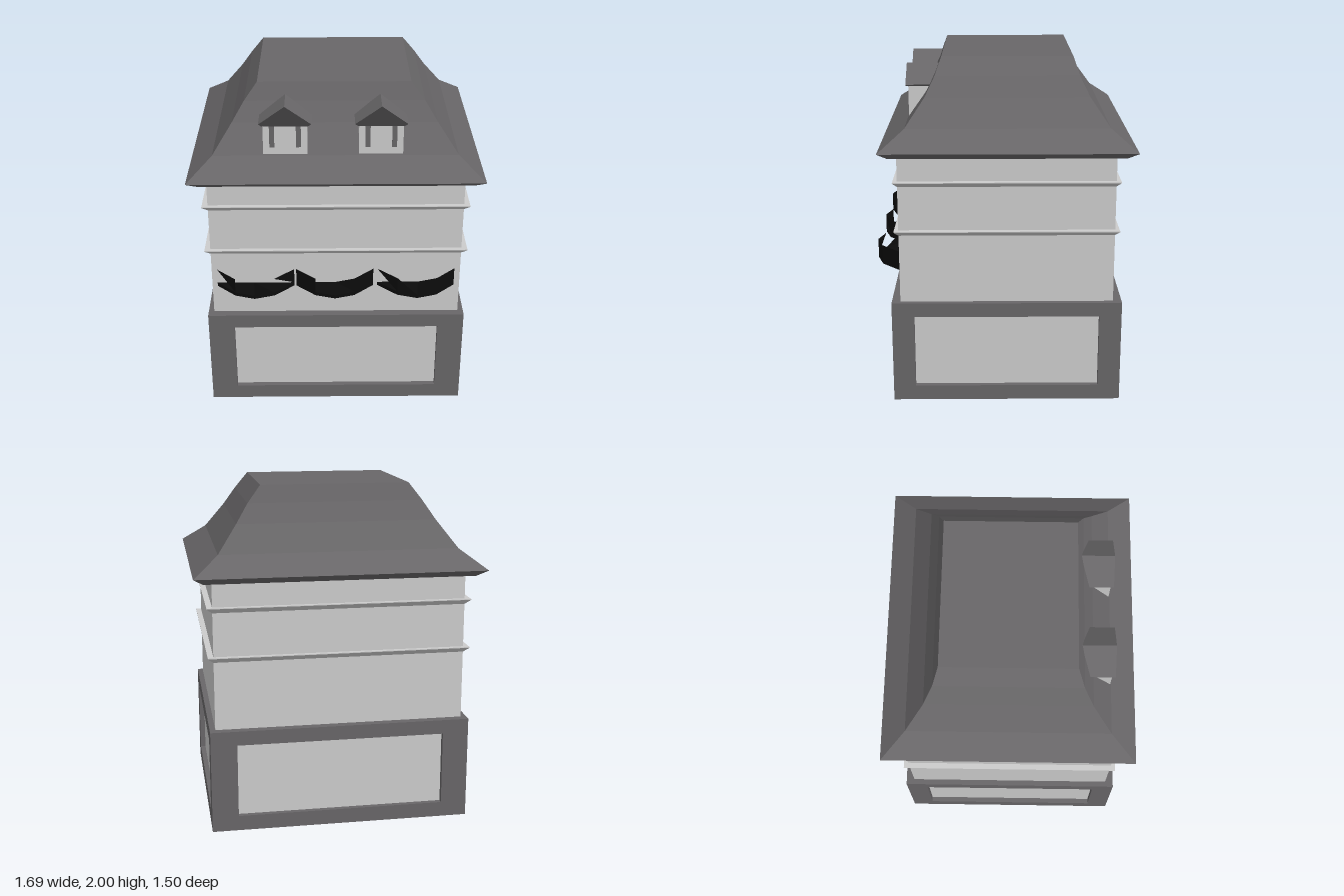
import * as THREE from 'three';

const mat = (name, color) => {
  const m = new THREE.MeshStandardMaterial({ color, side: THREE.DoubleSide });
  m.name = name;
  return m;
};

const CZ = -0.02; // depth centre of the house

// Flat-shaded shell through stacked rectangles [x0, x1, z0, z1, y]
function shell(rings) {
  const pos = [];
  const corners = ([x0, x1, z0, z1, y]) => [[x0, y, z1], [x1, y, z1], [x1, y, z0], [x0, y, z0]];
  for (let i = 0; i + 1 < rings.length; i++) {
    const lo = corners(rings[i]), hi = corners(rings[i + 1]);
    for (let k = 0; k < 4; k++) {
      const n = (k + 1) % 4;
      pos.push(...lo[k], ...lo[n], ...hi[n], ...lo[k], ...hi[n], ...hi[k]);
    }
  }
  return fromPositions(pos);
}

function fromPositions(pos) {
  const g = new THREE.BufferGeometry();
  g.setAttribute('position', new THREE.Float32BufferAttribute(pos, 3));
  g.computeVertexNormals();
  return g;
}

const ring = (hx, hz, y) => [-hx, hx, CZ - hz, CZ + hz, y];

function rectPath(path, x0, y0, x1, y1) {
  path.moveTo(x0, y0);
  path.lineTo(x1, y0);
  path.lineTo(x1, y1);
  path.lineTo(x0, y1);
  path.closePath();
  return path;
}

export function createModel() {
  const model = new THREE.Group();
  model.name = 'house';
  const wall = mat('pale wall', 0xcccccc);
  const slate = mat('slate grey', 0x686668);
  const dark = mat('dark gable', 0x424142);
  const black = mat('black iron', 0x0c0c0c);
  black.side = THREE.FrontSide;

  const add = (parent, name, geo, material, x = 0, y = 0, z = 0) => {
    const m = new THREE.Mesh(geo, material);
    m.name = name;
    m.position.set(x, y, z);
    parent.add(m);
    return m;
  };

  // Upper walls and the ledge on top of the plinth
  add(model, 'walls', shell([ring(0.737, 0.62, 0.61), ring(0.737, 0.62, 1.48)]), wall);
  add(model, 'plinthLedge', shell([ring(0.77, 0.67, 0.615), ring(0.735, 0.618, 0.615)]), slate);

  // Bevelled string courses
  for (const y of [1.02, 1.31]) {
    add(model, 'stringCourse', shell([
      ring(0.737, 0.62, y), ring(0.77, 0.645, y + 0.028),
      ring(0.77, 0.645, y + 0.033), ring(0.737, 0.62, y + 0.033),
    ]), wall);
  }

  // Plinth: four frames with recessed panels, open underneath
  const plinthSide = (width, panelHalf, thick, dist, angle) => {
    const side = new THREE.Group();
    side.name = 'plinthSide';
    const shape = rectPath(new THREE.Shape(), -width, 0, width, 0.615);
    shape.holes.push(rectPath(new THREE.Path(), -panelHalf, 0.09, panelHalf, 0.53));
    const frame = new THREE.ExtrudeGeometry(shape, { depth: thick, bevelEnabled: false });
    add(side, 'plinthFrame', frame, slate, 0, 0, dist - thick);
    add(side, 'plinthPanel', new THREE.PlaneGeometry(panelHalf * 2, 0.44), wall, 0, 0.31, dist - thick + 0.004);
    side.rotation.y = angle;
    side.position.z = CZ;
    model.add(side);
  };
  for (const k of [0, 1]) {
    plinthSide(0.77, 0.615, 0.035, 0.67, k * Math.PI);
    plinthSide(0.67, 0.54, 0.035, 0.77, (k + 0.5) * Math.PI);
  }

  // Flared mansard roof with bevelled eaves and flat top
  add(model, 'roof', shell([
    [-0.737, 0.737, -0.64, 0.60, 1.475],
    [-0.785, 0.785, -0.69, 0.645, 1.485],
    [-0.843, 0.843, -0.75, 0.70, 1.525],
    [-0.70, 0.695, -0.605, 0.555, 1.635],
    [-0.59, 0.58, -0.495, 0.445, 1.79],
    [-0.52, 0.508, -0.44, 0.39, 1.90],
    [-0.445, 0.43, -0.405, 0.353, 2.0],
    [-0.005, -0.005, -0.025, -0.025, 2.0],
  ]), slate);

  // Gabled dormers
  const gable = new THREE.Shape([[-0.148, 0], [-0.13, -0.012], [0.13, -0.012], [0.148, 0], [0, 0.105]]
    .map(([x, y]) => new THREE.Vector2(x, y)));
  for (const x of [-0.285, 0.255]) {
    const dormer = new THREE.Group();
    dormer.name = 'dormer';
    dormer.position.x = x;
    add(dormer, 'dormerBody', new THREE.BoxGeometry(0.25, 0.2, 0.16), wall, 0, 1.735, 0.47);
    add(dormer, 'dormerRoof', new THREE.ExtrudeGeometry(gable, { depth: 0.195, bevelEnabled: false }),
      [dark, slate], 0, 1.83, 0.37);
    for (const s of [-1, 1]) {
      add(dormer, 'windowJamb', new THREE.BoxGeometry(0.028, 0.13, 0.006), slate, s * 0.075, 1.75, 0.55);
    }
    model.add(dormer);
  }

  // Bowed balconies; each digit tells which triangles of a rail bay face out
  // (1 = upper right, 2 = lower left), the others face inwards
  const bays = [[1, 0, 2, 1], [3, 0, 1, 3], [1, 2, 3, 3]];
  [-0.477, -0.007, 0.475].forEach((cx, b) => {
    const balcony = new THREE.Group();
    balcony.name = 'balcony';
    balcony.position.set(cx, 0, 0.6);
    const arc = [-1, -0.5, 0, 0.5, 1].map((t) => [t * 0.229, 0.145 * (1 - t * t)]);

    // Floor slab
    const plan = new THREE.Shape(arc.map(([x, z]) => new THREE.Vector2(x, -z)));
    const slab = new THREE.ExtrudeGeometry(plan, { depth: 0.022, bevelEnabled: false });
    slab.rotateX(-Math.PI / 2);
    add(balcony, 'balconyFloor', slab, black, 0, 0.797, 0);

    // Rail
    const pos = [];
    const tri = (p, q, r, out) => pos.push(...p, ...(out ? [...q, ...r] : [...r, ...q]));
    bays[b].forEach((mask, i) => {
      const [[x0, z0], [x1, z1]] = [arc[i], arc[i + 1]];
      const a = [x0, 0.819, z0], c = [x1, 0.819, z1];
      const d = [x1, 0.911, z1], e = [x0, 0.911, z0];
      tri(c, d, e, mask & 1);
      tri(a, c, e, mask & 2);
    });
    add(balcony, 'balconyRail', fromPositions(pos), black);
    model.add(balcony);
  });

  return model;
}
